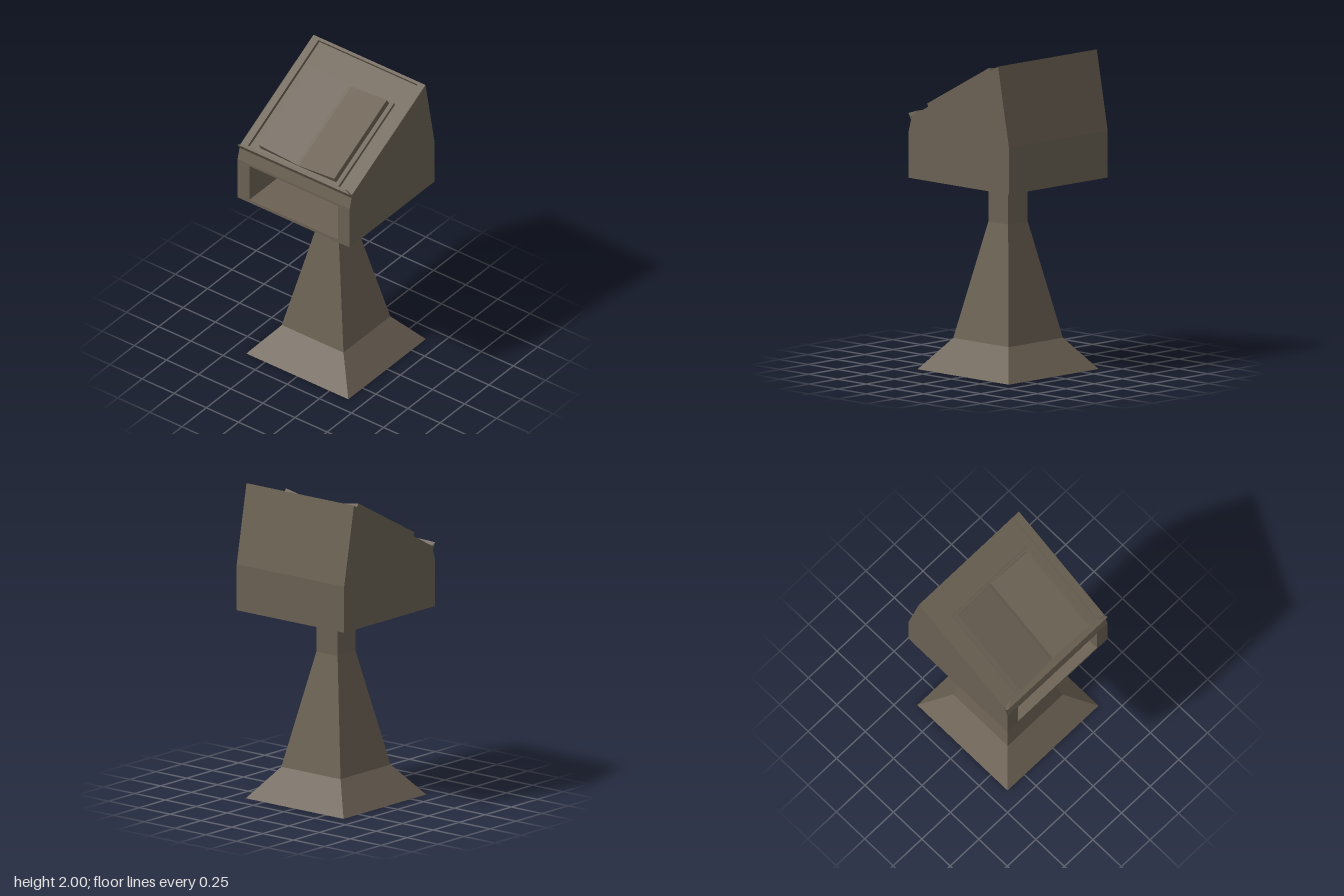
import * as THREE from 'three';

const material = new THREE.MeshStandardMaterial({ color: 0x6b6153, flatShading: true });
const SLOPE = Math.atan2(0.4, 0.743); // tilt of the reading surface
const ORIGIN = { z: 0.4, y: 1.6 }; // front of the reading surface

function add(parent, name, geometry) {
  const mesh = new THREE.Mesh(geometry, material);
  mesh.name = name;
  parent.add(mesh);
  return mesh;
}

function extrude(points, depth) {
  const shape = new THREE.Shape(points.map(([a, b]) => new THREE.Vector2(a, b)));
  return new THREE.ExtrudeGeometry(shape, { depth, bevelEnabled: false });
}

// Side profile of [z, y] points, extruded from x0 to x1
function slab(points, x0, x1) {
  return extrude(points, x1 - x0).rotateY(-Math.PI / 2).translate(x1, 0, 0);
}

// [z, y] of a point s along the reading surface and n above it
function onSlope(s, n) {
  const c = Math.cos(SLOPE), d = Math.sin(SLOPE);
  return [ORIGIN.z - s * c + n * d, ORIGIN.y + s * d + n * c];
}

// Skin through equal-sized cross-sections of [x, y, z] points, with closed ends
function loft(sections) {
  const pos = [];
  const tri = (a, b, c) => pos.push(...a, ...b, ...c);
  for (let i = 0; i < sections.length - 1; i++) {
    const a = sections[i], b = sections[i + 1], m = a.length;
    for (let j = 0; j < m; j++) {
      const k = (j + 1) % m;
      tri(a[j], b[j], b[k]);
      tri(a[j], b[k], a[k]);
    }
  }
  const first = sections[0], last = sections[sections.length - 1];
  for (let j = 1; j < first.length - 1; j++) {
    tri(first[0], first[j], first[j + 1]);
    tri(last[0], last[j + 1], last[j]);
  }
  const g = new THREE.BufferGeometry();
  g.setAttribute('position', new THREE.Float32BufferAttribute(pos, 3));
  g.computeVertexNormals();
  return g;
}

function createCabinet() {
  const cabinet = new THREE.Group();
  cabinet.name = 'cabinet';
  const back = [[-0.343, 2.0], [-0.437, 1.5], [-0.437, 1.205]];
  const frontTop = [[0.435, 1.5], [0.408, 1.596]];
  const recess = [onSlope(0, -0.023), onSlope(0.825, -0.023), onSlope(0.825, 0)];
  const shelf = [[0.435, 1.225], [0.135, 1.225], [0.135, 1.485], [0.435, 1.485]];
  const base = [0.435, 1.205];

  // Middle holds both the book recess and the open shelf
  add(cabinet, 'cabinetMiddle', slab([base, ...shelf, ...frontTop, ...recess, ...back], -0.345, 0.345));
  for (const side of [-1, 1]) {
    const span = (a, b) => (side > 0 ? [a, b] : [-b, -a]);
    add(cabinet, 'shelfSide', slab([base, ...frontTop, ...recess, ...back], ...span(0.345, 0.385)));
    add(cabinet, 'cabinetSide', slab([base, ...frontTop, ...back], ...span(0.385, 0.436)));
  }

  // Ledge along the front edge, with mitred ends
  const A = [1.565, 0.41], B = [1.612, 0.438], C = [1.622, 0.418], D = [1.588, 0.385], E = [1.597, 0.414];
  const at = (x, points) => points.map((p) => [x, ...p]);
  add(cabinet, 'bookLedge', loft([
    at(-0.436, [A, B, B, E]), at(-0.385, [A, B, C, D]),
    at(0.385, [A, B, C, D]), at(0.436, [A, B, B, E]),
  ]));
  return cabinet;
}

function createBook() {
  const book = new THREE.Group();
  book.name = 'openBook';
  book.position.set(0, ORIGIN.y, ORIGIN.z);
  book.rotation.x = SLOPE;

  // Cover boards form a shallow V
  const cover = [[-0.32, -0.008], [0, -0.022], [0.328, -0.008], [0.328, 0.013], [0, -0.002], [-0.32, 0.013]];
  add(book, 'bookCover', extrude(cover, 0.645)).position.z = -0.645;

  // Page blocks thin out towards the spine
  const leftPages = [[0.003, -0.006], [0.298, 0.01], [0.298, 0.056], [0.003, 0.006]];
  const rightPages = [[-0.29, 0.01], [0.003, -0.006], [0.003, 0.006], [-0.016, 0.011], [-0.29, 0.056]];
  add(book, 'leftPages', extrude(leftPages, 0.613)).position.z = -0.631;
  add(book, 'rightPages', extrude(rightPages, 0.613)).position.z = -0.631;
  return book;
}

export function createModel() {
  const model = new THREE.Group();
  model.name = 'lectern';

  // Square pedestal, [half width, height]
  const profile = [[0, 0], [0.397, 0], [0.24, 0.197], [0.086, 0.93], [0.086, 1.21]]
    .map(([h, y]) => new THREE.Vector2(h * Math.SQRT2, y));
  add(model, 'pedestal', new THREE.LatheGeometry(profile, 4, Math.PI / 4));

  model.add(createCabinet(), createBook());
  return model;
}
